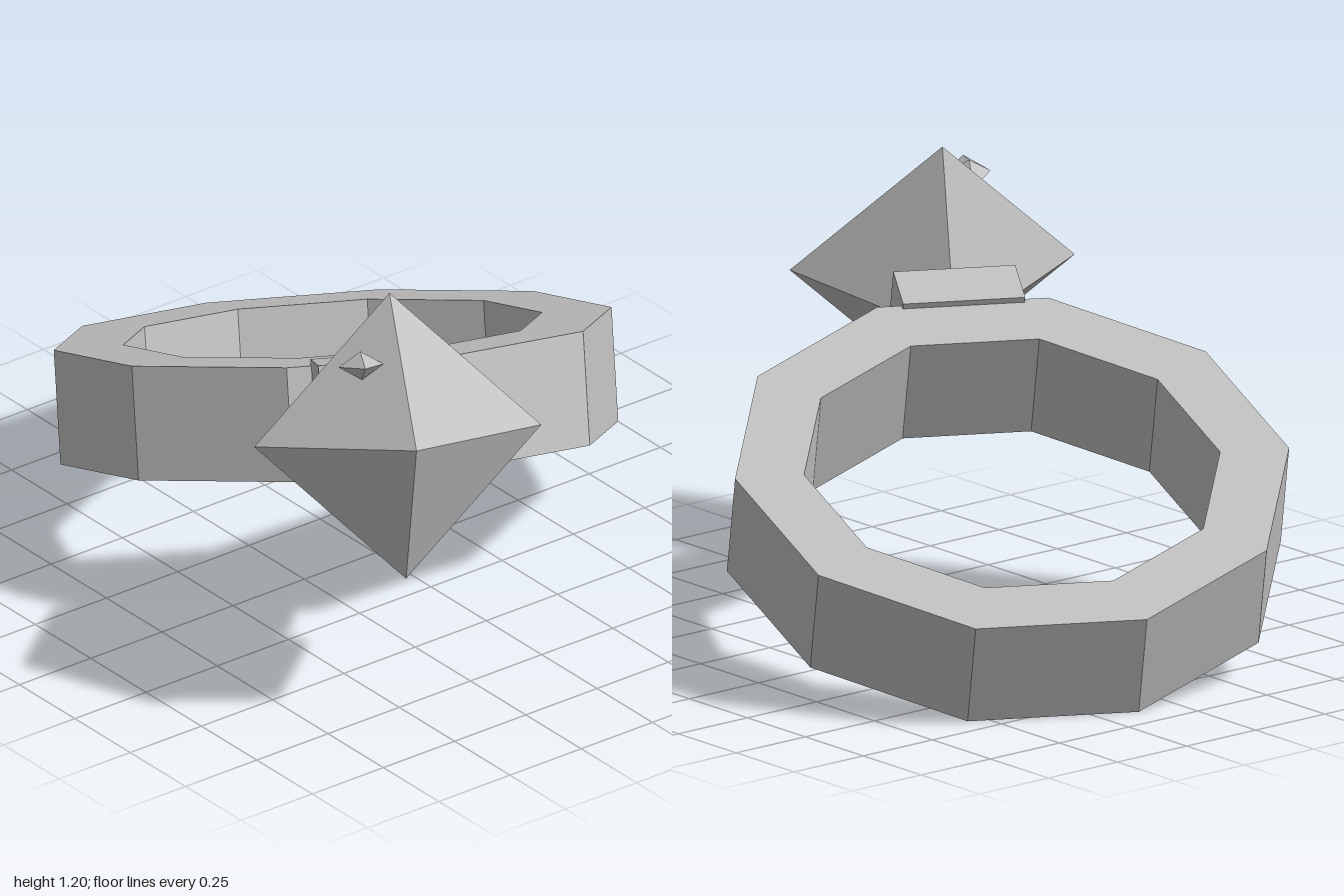
import * as THREE from 'three';

export function createModel() {
  const metal = new THREE.MeshStandardMaterial({ color: 0xc0c0c0, flatShading: true });
  metal.name = 'silverGrey';

  // Everything is built in the ring's own frame: axis along y, jewel towards +z
  const ring = new THREE.Group();
  ring.name = 'jewelRing';
  const add = (name, geometry, x, y, z) => {
    const mesh = new THREE.Mesh(geometry, metal);
    mesh.name = name;
    mesh.position.set(x, y, z);
    ring.add(mesh);
  };

  // Ten-sided band with a rectangular section, one flat side facing the jewel
  const outer = 0.783, inner = 0.588, half = 0.16;
  const section = [[inner, -half], [outer, -half], [outer, half], [inner, half], [inner, -half]]
    .map(([r, y]) => new THREE.Vector2(r, y));
  add('band', new THREE.LatheGeometry(section, 10, Math.PI / 10), 0, 0, 0);

  // Square block that holds the jewel
  add('setting', new THREE.BoxGeometry(0.345, 0.354, 0.15), 0, 0, 0.805);

  // Large jewel and the small stone on its upper facet
  const gem = (rx, ry, rz) => new THREE.OctahedronGeometry(1).scale(rx, ry, rz);
  add('jewel', gem(0.403, 0.4, 0.348), 0, 0, 1.145);
  add('smallStone', gem(0.063, 0.04, 0.078), -0.108, 0.219, 1.262);

  // Lean the ring back and turn it to its right
  ring.rotation.set(-0.369, -0.5, 0, 'YXZ');
  ring.position.set(0.037, 0.421, -0.226);

  const model = new THREE.Group();
  model.name = 'ring';
  model.add(ring);
  return model;
}
